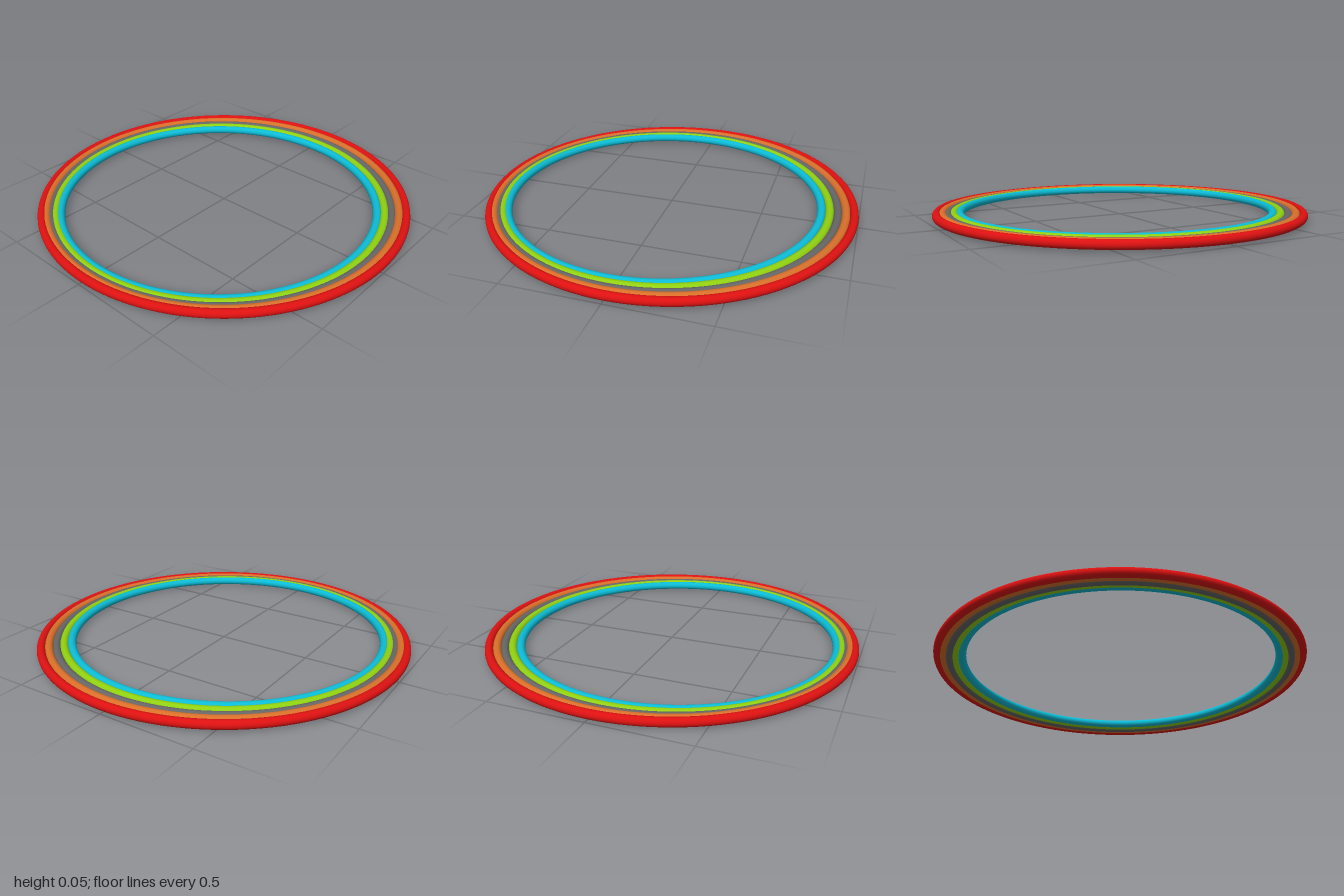
import * as THREE from 'three';

// Five nested tube rings, each a little smaller and shifted toward the front
const TUBE = 0.0225;
const RINGS = [
  { name: 'outerRedRing', color: 0xdd1111, y: 0.031 },
  { name: 'orangeRing', color: 0xd8702a, y: 0.029 },
  { name: 'greyRing', color: 0x666666, y: 0.0225 },
  { name: 'greenRing', color: 0x90d010, y: 0.025 },
  { name: 'innerCyanRing', color: 0x0cbcd6, y: 0.0245 },
];

export function createModel() {
  const model = new THREE.Group();
  model.name = 'nestedRings';
  RINGS.forEach(({ name, color, y }, i) => {
    const geometry = new THREE.TorusGeometry(1 - TUBE - 0.032 * i, TUBE, 20, 128);
    geometry.rotateX(Math.PI / 2);
    const ring = new THREE.Mesh(geometry, new THREE.MeshStandardMaterial({ color }));
    ring.name = name;
    ring.position.set(0, y, 0.01 * i);
    model.add(ring);
  });
  return model;
}
